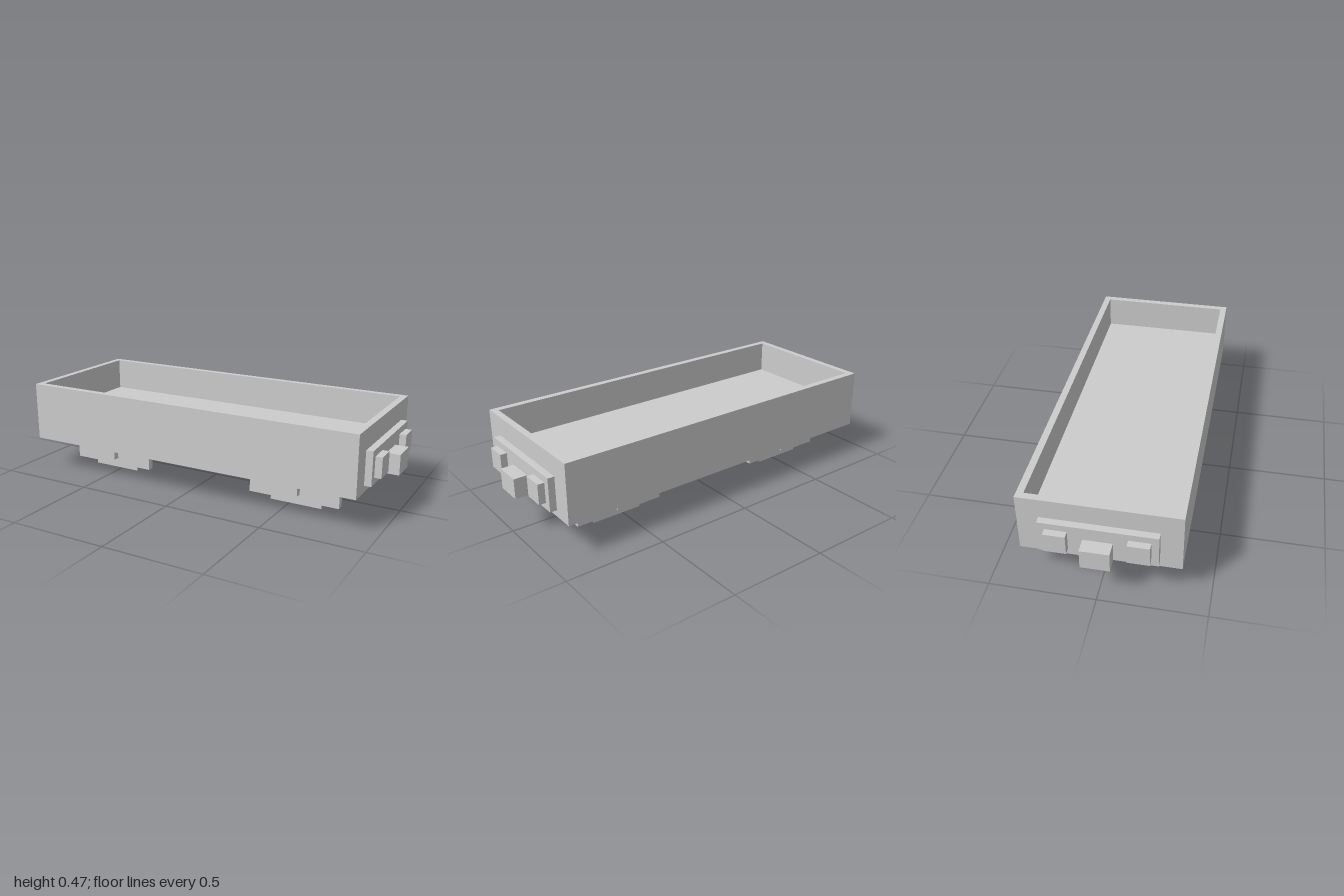
import * as THREE from 'three';

const U = 1 / 30; // modelling unit
const material = new THREE.MeshStandardMaterial({ color: 0xcccccc, flatShading: true });
const thinMaterial = new THREE.MeshStandardMaterial({ color: 0xcccccc, side: THREE.DoubleSide });

// Box given by its two opposite corners, in modelling units
function box(parent, name, [x0, y0, z0], [x1, y1, z1]) {
  const geometry = new THREE.BoxGeometry((x1 - x0) * U, (y1 - y0) * U, (z1 - z0) * U);
  const mesh = new THREE.Mesh(geometry, material);
  mesh.position.set((x0 + x1) * U / 2, (y0 + y1) * U / 2, (z0 + z1) * U / 2);
  mesh.name = name;
  parent.add(mesh);
}

function rectangle(target, w, d) {
  target.moveTo(-w * U, -d * U);
  target.lineTo(w * U, -d * U);
  target.lineTo(w * U, d * U);
  target.lineTo(-w * U, d * U);
  target.closePath();
  return target;
}

// Open tray: solid bed with a ring of walls on top
function createTray() {
  const tray = new THREE.Group();
  tray.name = 'tray';
  box(tray, 'bed', [-27, 5, -11], [27, 9, 11]);
  const ring = rectangle(new THREE.Shape(), 27, 11);
  ring.holes.push(rectangle(new THREE.Path(), 26, 10));
  const geometry = new THREE.ExtrudeGeometry(ring, { depth: 5 * U, bevelEnabled: false });
  geometry.rotateX(-Math.PI / 2);
  const walls = new THREE.Mesh(geometry, material);
  walls.position.y = 9 * U;
  walls.name = 'walls';
  tray.add(walls);
  return tray;
}

// End beam, two bumpers and a coupler, facing +x
function createEnd() {
  const end = new THREE.Group();
  box(end, 'endBeam', [27, 6, -8], [28, 11, 8]);
  for (const z of [-5.5, 5.5]) box(end, 'bumper', [28, 7, z - 1.5], [29, 10, z + 1.5]);
  box(end, 'coupler', [28, 6, -2], [30, 9, 2]);
  return end;
}

// Bogie: side frames, thin lower plates and a cross axle
function createBogie() {
  const bogie = new THREE.Group();
  for (const side of [-1, 1]) {
    box(bogie, 'sideFrame', [-7, 1, side * 5.5 - 0.5], [7, 5, side * 5.5 + 0.5]);
    const plate = new THREE.Mesh(new THREE.PlaneGeometry(8 * U, U), thinMaterial);
    plate.position.set(0, U / 2, side * 5 * U);
    plate.name = 'lowerPlate';
    bogie.add(plate);
  }
  box(bogie, 'axle', [-1, 2, -7], [1, 4, 7]);
  return bogie;
}

export function createModel() {
  const model = new THREE.Group();
  model.name = 'railWagon';
  model.add(createTray());
  for (const side of [1, -1]) {
    const end = createEnd();
    end.name = side > 0 ? 'leftEnd' : 'rightEnd';
    end.rotation.y = side > 0 ? 0 : Math.PI;
    const bogie = createBogie();
    bogie.name = side > 0 ? 'leftBogie' : 'rightBogie';
    bogie.position.x = side * 16 * U;
    model.add(end, bogie);
  }
  // Equipment box under the bed, off centre
  box(model, 'underfloorBox', [-5, 2, 0], [3, 5, 4]);
  return model;
}
